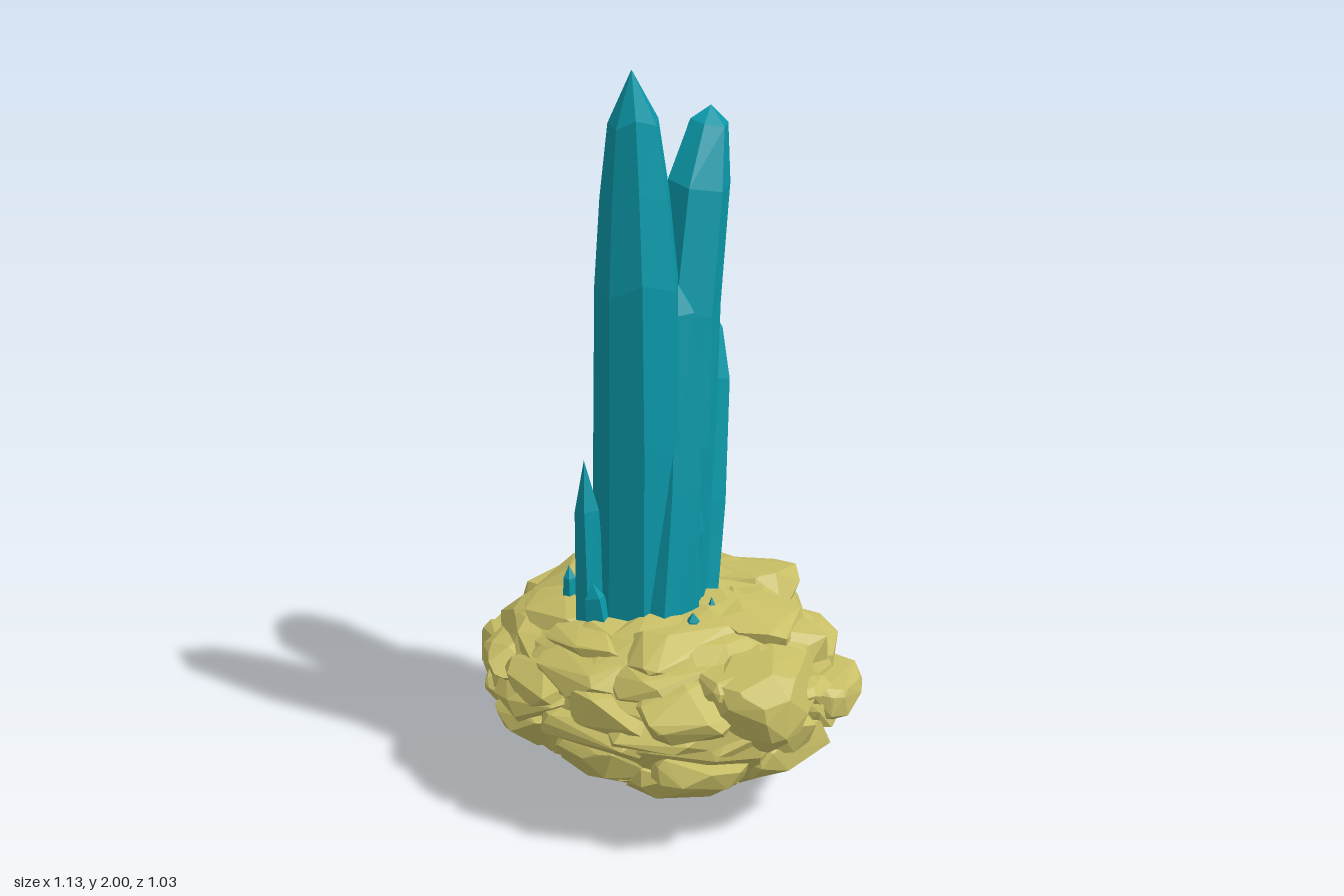
import * as THREE from 'three';
import { ConvexGeometry } from 'three/addons/geometries/ConvexGeometry.js';

const rockMat = new THREE.MeshStandardMaterial({ color: 0xc8be66, flatShading: true });
const crystalMat = new THREE.MeshStandardMaterial({ color: 0x0a96a6, flatShading: true });

// Seeded random numbers in [-1, 1]
function seeded(s) {
  return () => {
    s = (s * 16807) % 2147483647;
    return (s / 2147483647) * 2 - 1;
  };
}

// Flat-shaded skin over rings (bottom to top); the end rings may close to a point
function loft(rings) {
  const pos = [];
  const tri = (a, b, c) => {
    if (a.equals(b) || b.equals(c) || a.equals(c)) return;
    for (const p of [a, b, c]) pos.push(p.x, p.y, p.z);
  };
  for (let i = 0; i < rings.length - 1; i++) {
    const lo = rings[i], hi = rings[i + 1], n = lo.length;
    for (let j = 0; j < n; j++) {
      const k = (j + 1) % n;
      tri(lo[j], hi[j], lo[k]);
      tri(hi[j], hi[k], lo[k]);
    }
  }
  const geo = new THREE.BufferGeometry();
  geo.setAttribute('position', new THREE.Float32BufferAttribute(pos, 3));
  geo.computeVertexNormals();
  return geo;
}

function add(group, name, geo, mat) {
  const mesh = new THREE.Mesh(geo, mat);
  mesh.name = name;
  group.add(mesh);
}

// Crystal through stations [x, y, z, radius in x, radius in z], with slightly uneven facets
function crystal(group, name, stations, sides = 7, turn = 0.3) {
  const rnd = seeded(Math.round(1000 + turn * 977 + sides * 31));
  const facets = Array.from({ length: sides }, (_, j) => ({
    a: ((j + rnd() * 0.15) / sides) * Math.PI * 2 + turn,
    r: 1 + rnd() * 0.06,
    lift: rnd() * 0.25,
  }));
  const rings = stations.map(([x, y, z, rx, rz = rx], i) => facets.map((f) => new THREE.Vector3(
    x + Math.cos(f.a) * rx * f.r,
    y + (i > 0 ? f.lift * rx : 0),
    z + Math.sin(f.a) * rz * f.r)));
  add(group, name, loft(rings), crystalMat);
}

// Rock outline seen from above, every 15 degrees from +x towards +z
const outline = [0.56, 0.54, 0.56, 0.59, 0.57, 0.53, 0.51, 0.5, 0.5, 0.51, 0.54, 0.55,
  0.57, 0.57, 0.58, 0.49, 0.48, 0.52, 0.51, 0.51, 0.52, 0.52, 0.49, 0.48];
// Rock side profile: [share of the outline, height]
const profile = [[0, 0.1], [0.38, 0.1], [0.64, 0.13], [0.82, 0.2], [0.94, 0.3],
  [0.9, 0.4], [0.8, 0.47], [0.58, 0.53], [0.32, 0.55], [0, 0.555]];

// Radius at angle a and height y; the back is notched between its two lobes
function rockRadius(a, y) {
  const t = (((a / (Math.PI * 2)) % 1) + 1) % 1 * outline.length;
  const i = Math.floor(t);
  const r = THREE.MathUtils.lerp(outline[i % 24], outline[(i + 1) % 24], t - i);
  const back = THREE.MathUtils.smoothstep(-Math.sin(a), 0.5, 0.95);
  const notch = Math.max(0, 1 - Math.abs(y - 0.28) / 0.1);
  return r * (1 - 0.15 * back * notch);
}

// Faceted boulder: hull of points scattered on a squashed, slightly boxy ball, facing angle a
function boulder(group, name, rnd, x, y, z, half, a = 0, tilt = 0, count = 40) {
  const pts = [];
  for (let i = 0; i < count; i++) {
    const v = new THREE.Vector3(rnd(), rnd(), rnd());
    const reach = Math.max(Math.abs(v.x), Math.abs(v.y), Math.abs(v.z));
    v.divideScalar(0.65 * v.length() + 0.35 * reach);
    pts.push(v.multiply(new THREE.Vector3(...half)));
  }
  const geo = new ConvexGeometry(pts);
  geo.rotateZ(tilt).rotateY(-a).translate(x, y, z);
  add(group, name, geo, rockMat);
}

function buildRock() {
  const rock = new THREE.Group();
  rock.name = 'rock';
  const rnd = seeded(4711);

  // Solid core
  const rings = profile.map(([s, y]) => outline.map((_, j) => {
    const a = (j / 24) * Math.PI * 2 + (s ? rnd() * 0.06 : 0);
    const d = rockRadius(a, y) * s * (s ? 0.96 + rnd() * 0.04 : 0);
    return new THREE.Vector3(Math.cos(a) * d, y + (s ? rnd() * 0.012 : 0), Math.sin(a) * d);
  }));
  add(rock, 'rockCore', loft(rings), rockMat);

  // Slabs around the rock, wide and overlapping:
  // [name, height, share of the radius, count, half sizes, outward tilt]
  const layers = [
    ['bellyPlate', 0.145, 0.38, 7, [0.17, 0.055, 0.18], 0.15],
    ['rockSlab', 0.19, 0.62, 9, [0.12, 0.07, 0.17], 0.4],
    ['rockSlab', 0.25, 0.76, 10, [0.11, 0.065, 0.17], 0.2],
    ['rockSlab', 0.33, 0.8, 11, [0.1, 0.06, 0.16], 0],
    ['rockSlab', 0.4, 0.76, 10, [0.11, 0.06, 0.16], -0.15],
    ['rockSlab', 0.45, 0.64, 9, [0.115, 0.06, 0.16], -0.25],
    ['topPlate', 0.5, 0.5, 8, [0.13, 0.048, 0.16], -0.12]];
  layers.forEach(([name, y, s, n, half, tilt], l) => {
    for (let i = 0; i < n; i++) {
      const a = ((i + l * 0.4 + rnd() * 0.25) / n) * Math.PI * 2;
      const d = rockRadius(a, y) * s;
      boulder(rock, name, rnd, Math.cos(a) * d, y + rnd() * 0.015, Math.sin(a) * d,
        half.map((h) => h * (1 + rnd() * 0.12)), a, tilt + rnd() * 0.15, 24);
    }
  });

  // Larger lobes: low and high at the back, front left, and at both flanks
  boulder(rock, 'lowerBackLobe', rnd, -0.03, 0.14, -0.37, [0.19, 0.08, 0.155]);
  boulder(rock, 'upperBackLobe', rnd, 0.12, 0.47, -0.26, [0.19, 0.11, 0.16]);
  boulder(rock, 'frontLeftLobe', rnd, 0.33, 0.4, 0.23, [0.15, 0.12, 0.19]);
  boulder(rock, 'leftFlankLobe', rnd, 0.44, 0.33, 0.02, [0.12, 0.075, 0.14]);
  boulder(rock, 'rightFlankLobe', rnd, -0.45, 0.27, -0.05, [0.12, 0.08, 0.15]);
  return rock;
}

function buildCrystals() {
  const g = new THREE.Group();
  g.name = 'crystals';

  // Tall upright crystal
  crystal(g, 'mainCrystal', [[-0.07, 0.48, 0.075, 0.125], [-0.065, 1.0, 0.07, 0.12, 0.125],
    [-0.065, 1.45, 0.07, 0.11, 0.12], [-0.072, 1.68, 0.06, 0.09, 0.1],
    [-0.075, 1.87, 0.06, 0.064, 0.075], [-0.08, 2.0, 0.053, 0]], 8, 0.2);
  // Crystal leaning to the back, with a blunt end
  crystal(g, 'leaningCrystal', [[0.0, 0.48, -0.02, 0.115], [0.0, 1.0, -0.085, 0.11, 0.13],
    [0.0, 1.35, -0.14, 0.1, 0.135], [0.01, 1.67, -0.218, 0.09, 0.125],
    [0.02, 1.82, -0.275, 0.058, 0.065], [0.025, 1.86, -0.285, 0]], 7, 0.5);
  // Shorter crystal behind it
  crystal(g, 'backCrystal', [[0.01, 0.48, -0.06, 0.115], [0.025, 0.8, -0.135, 0.1, 0.11],
    [0.03, 1.13, -0.21, 0.08, 0.1], [0.03, 1.26, -0.25, 0.045], [0.03, 1.29, -0.26, 0]], 6, 0.15);
  // Slender crystal growing between the two tall ones
  crystal(g, 'innerCrystal', [[0.02, 0.48, 0.1, 0.095], [0.03, 0.9, 0.05, 0.075],
    [0.025, 1.37, 0.0, 0.045], [0.025, 1.44, 0.0, 0]], 6, 0.1);
  // Buttress at the left foot
  crystal(g, 'footCrystal', [[0.045, 0.48, 0.04, 0.07], [0.055, 0.75, 0.0, 0.055],
    [0.055, 1.02, -0.05, 0]], 5, 0.7);

  // Small shards on the top: [x, z, foot radius, tip height, tip x, tip z]
  const shards = [[-0.165, 0.175, 0.045, 0.98, -0.18, 0.17], [-0.13, 0.2, 0.038, 0.64, -0.15, 0.2],
    [-0.2, 0.0, 0.035, 0.67, -0.22, 0.0], [-0.17, 0.04, 0.03, 0.74, -0.17, 0.03],
    [-0.26, 0.085, 0.025, 0.625, -0.265, 0.08], [0.135, 0.185, 0.022, 0.585, 0.13, 0.18],
    [0.15, 0.065, 0.015, 0.58, 0.145, 0.06]];
  shards.forEach(([x, z, r, top, tx, tz], i) => {
    const y = 0.5, m = 0.7;
    crystal(g, 'smallShard', [[x, y, z, r],
      [x + (tx - x) * m, y + (top - y) * m, z + (tz - z) * m, r * 0.75],
      [tx, top, tz, 0]], 5, i * 0.9);
  });

  // Shards pointing down below the rock: [x, z, radius, tip height]
  const roots = [[0.04, 0.11, 0.032, 0.0], [0.05, 0.04, 0.03, 0.03], [0.035, 0.14, 0.025, 0.03],
    [0.07, -0.03, 0.022, 0.06], [-0.175, 0.08, 0.02, 0.08]];
  roots.forEach(([x, z, r, tip], i) => {
    crystal(g, 'rootShard', [[x, tip, z, 0], [x + 0.005, tip + 0.04, z, r * 0.85],
      [x + 0.015, 0.17, z + 0.01, r]], 5, i * 1.1);
  });
  return g;
}

export function createModel() {
  const model = new THREE.Group();
  model.name = 'crystalRock';
  model.add(buildRock(), buildCrystals());
  return model;
}
